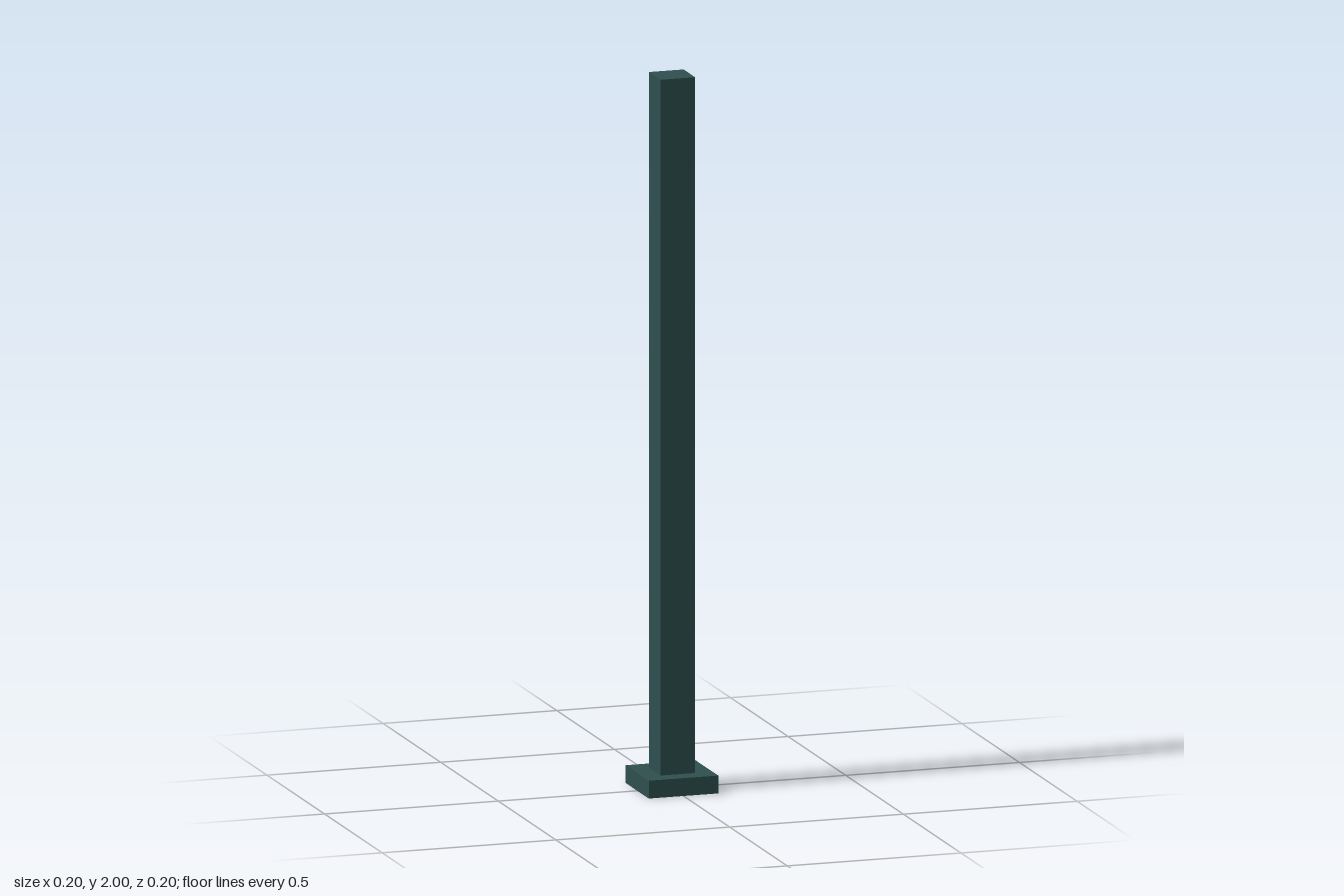
import * as THREE from 'three';

export function createModel() {
  const model = new THREE.Group();
  model.name = 'post';
  const material = new THREE.MeshStandardMaterial({ color: 0x2f4f4f });

  // Square block of the given width, spanning bottom to top
  const addBlock = (name, width, bottom, top) => {
    const mesh = new THREE.Mesh(new THREE.BoxGeometry(width, top - bottom, width), material);
    mesh.name = name;
    mesh.position.y = (bottom + top) / 2;
    model.add(mesh);
  };

  addBlock('basePlate', 0.2, 0, 0.05);
  addBlock('shaft', 0.1, 0.05, 2);

  return model;
}
